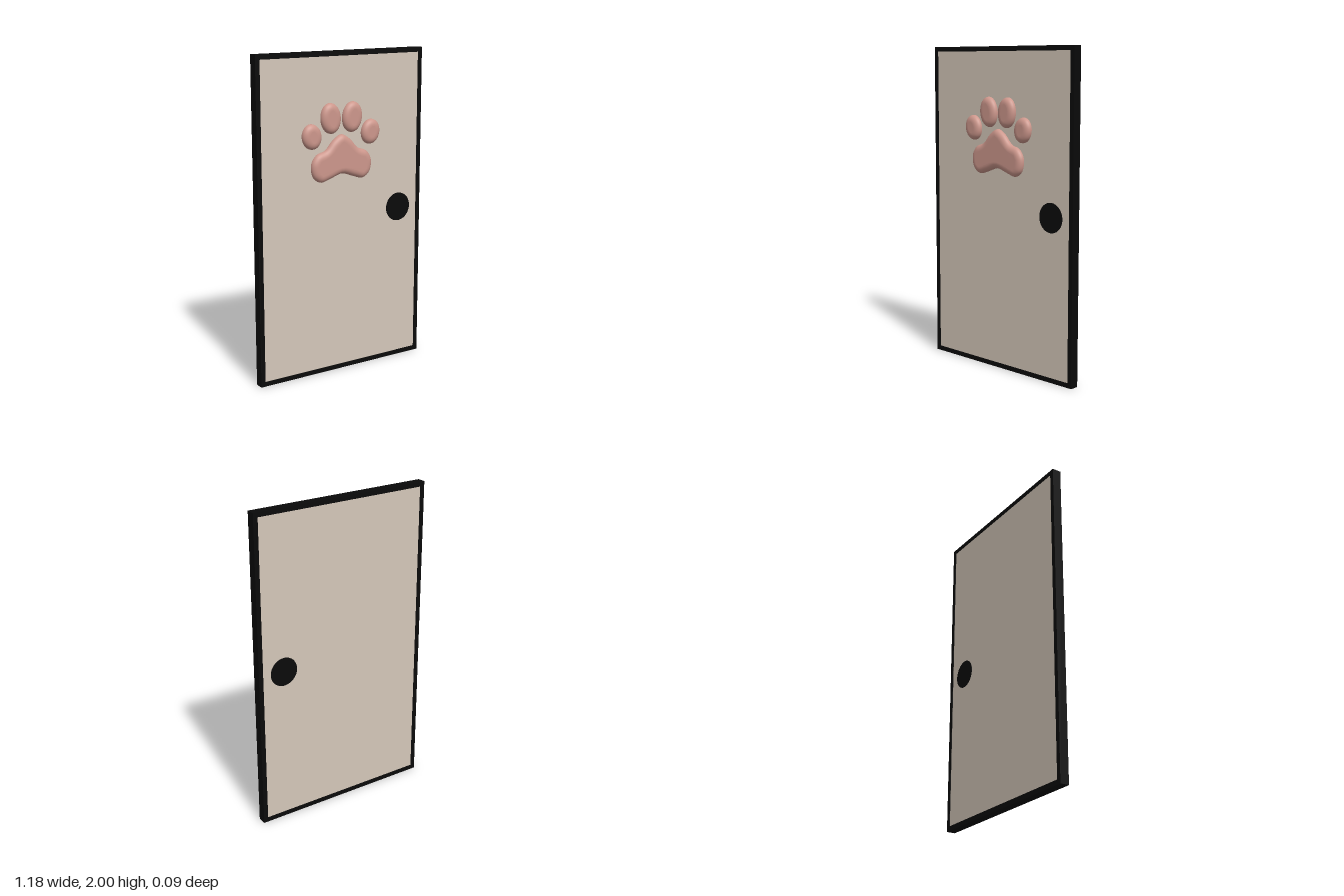
import * as THREE from 'three';
import { mergeVertices } from 'three/addons/utils/BufferGeometryUtils.js';

const W = 0.592, H = 2, RIM = 0.029;      // half width, height, frame width
const BACK = -0.047, FRONT = 0.009;       // frame depth range
const PAW_X = -0.013;

const mat = (color) => new THREE.MeshStandardMaterial({ color });

function add(group, name, geometry, material) {
  const mesh = new THREE.Mesh(geometry, material);
  mesh.name = name;
  group.add(mesh);
  return mesh;
}

// Smooth pillow: an outline extruded with a rounded, inset bevel
function cushion(points, bevel) {
  const curve = new THREE.CatmullRomCurve3(points.map(([x, y]) => new THREE.Vector3(x, y, 0)), true);
  const shape = new THREE.Shape(curve.getPoints(72).slice(0, -1).map((p) => new THREE.Vector2(p.x, p.y)));
  const geo = new THREE.ExtrudeGeometry(shape, {
    depth: 0.004, bevelThickness: 0.031, bevelSize: bevel, bevelOffset: -bevel, bevelSegments: 8,
  });
  geo.deleteAttribute('normal');
  geo.deleteAttribute('uv');
  const smooth = mergeVertices(geo, 1e-4);
  smooth.computeVertexNormals();
  return smooth;
}

const oval = (rx, ry) => Array.from({ length: 12 }, (_, i) => {
  const a = (i / 12) * Math.PI * 2;
  return [rx * Math.cos(a), ry * Math.sin(a)];
});

export function createModel() {
  const model = new THREE.Group();
  model.name = 'door';
  const black = mat(0x0a0a0a), cream = mat(0xd5c8ba), pink = mat(0xcd978c);

  // Frame: rectangle with a rectangular opening
  const outer = new THREE.Shape([[-W, 0], [W, 0], [W, H], [-W, H]].map((p) => new THREE.Vector2(...p)));
  const x = W - RIM;
  outer.holes.push(new THREE.Path(
    [[-x, RIM], [-x, H - RIM], [x, H - RIM], [x, RIM]].map((p) => new THREE.Vector2(...p))));
  const frame = new THREE.ExtrudeGeometry(outer, { depth: FRONT - BACK, bevelEnabled: false });
  add(model, 'frame', frame.translate(0, 0, BACK), black);

  // Panel, set just behind the frame faces
  const mid = (FRONT + BACK) / 2, depth = FRONT - BACK;
  add(model, 'panel', new THREE.BoxGeometry(2 * x, H - 2 * RIM, depth - 0.006), cream)
    .position.set(0, H / 2, mid);

  // Flat round knob passing through the panel
  const knob = new THREE.CylinderGeometry(0.09, 0.09, depth, 48).rotateX(Math.PI / 2);
  add(model, 'knob', knob, black).position.set(0.42, 1, mid);

  // Paw relief on the front
  const paw = new THREE.Group();
  paw.name = 'paw';
  paw.position.set(PAW_X, 0, 0.007);
  model.add(paw);

  // Main pad: right half mirrored to the left
  const half = [[0.06, 1.47], [0.115, 1.413], [0.178, 1.389], [0.213, 1.335],
    [0.202, 1.258], [0.153, 1.221], [0.085, 1.237]];
  const mirrored = half.map(([px, py]) => [-px, py]).reverse();
  const outline = [[0, 1.502], ...half, [0, 1.262], ...mirrored].reverse();
  add(paw, 'mainPad', cushion(outline, 0.04), pink);

  // Toes: x, y, radii, outward tilt
  const toes = [['innerToe', 0.077, 1.603, 0.069, 0.093, 0.1], ['outerToe', 0.211, 1.503, 0.065, 0.077, 0.2]];
  for (const [name, tx, ty, rx, ry, tilt] of toes) {
    const geo = cushion(oval(rx, ry), 0.04);
    for (const side of [1, -1]) {
      const toe = add(paw, (side > 0 ? 'left' : 'right') + name[0].toUpperCase() + name.slice(1), geo, pink);
      toe.position.set(side * tx, ty, 0);
      toe.rotation.z = -side * tilt;
    }
  }
  return model;
}
